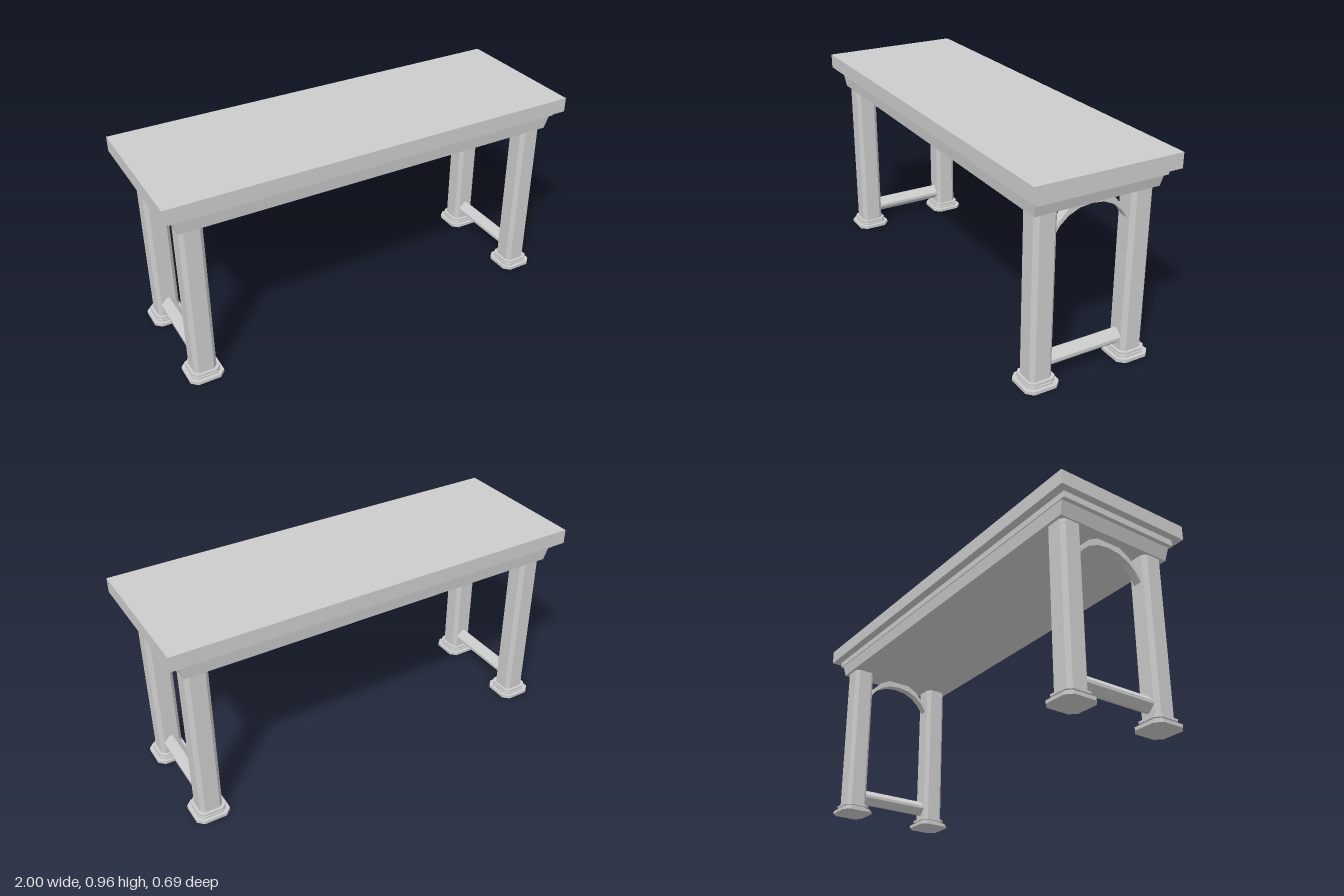
import * as THREE from 'three';

const material = new THREE.MeshStandardMaterial({ color: 0xcccccc, flatShading: true });

function addMesh(parent, geometry, name) {
  const mesh = new THREE.Mesh(geometry, material);
  mesh.name = name;
  parent.add(mesh);
  return mesh;
}

// Square of the given width with its four corners cut off
function chamferedSquare(width, cut) {
  const h = width / 2, k = h - cut;
  return new THREE.Shape([
    [h, -k], [h, k], [k, h], [-k, h], [-h, k], [-h, -k], [-k, -h], [k, -h],
  ].map(([x, y]) => new THREE.Vector2(x, y)));
}

const extrude = (shape, depth) =>
  new THREE.ExtrudeGeometry(shape, { depth, bevelEnabled: false, steps: 1 });

// Upright chamfered block from y0 to y1
function uprightBlock(width, cut, y0, y1) {
  return extrude(chamferedSquare(width, cut), y1 - y0).rotateX(-Math.PI / 2).translate(0, y0, 0);
}

// Rectangular slab whose underside may be smaller than its top
function slab(xTop, zTop, xBottom, zBottom, y0, y1) {
  const geometry = new THREE.BoxGeometry(2, y1 - y0, 2).translate(0, (y0 + y1) / 2, 0);
  const p = geometry.attributes.position;
  for (let i = 0; i < p.count; i++) {
    const top = p.getY(i) > (y0 + y1) / 2;
    p.setX(i, p.getX(i) * (top ? xTop : xBottom));
    p.setZ(i, p.getZ(i) * (top ? zTop : zBottom));
  }
  geometry.computeVertexNormals();
  return geometry;
}

function createLeg() {
  const leg = new THREE.Group();
  leg.name = 'leg';
  addMesh(leg, uprightBlock(0.107, 0.018, 0.03, 0.8), 'legPost');
  // Stepped foot: width, corner cut, bottom, top
  [
    [0.162, 0.028, 0, 0.015],
    [0.13, 0.022, 0.015, 0.023],
    [0.115, 0.02, 0.023, 0.03],
    [0.132, 0.022, 0.03, 0.04],
  ].forEach((step) => addMesh(leg, uprightBlock(...step), 'footStep'));
  return leg;
}

// Thin faceted arch between the two legs of one end
function createArchGeometry() {
  const outer = [[0.178, 0.68], [0.152, 0.728], [0.11, 0.772], [0.06, 0.797], [0, 0.803]];
  const inner = [[0.178, 0.665], [0.15, 0.707], [0.11, 0.742], [0.058, 0.765], [0, 0.772]];
  const mirrored = (half) => [
    ...half,
    ...half.slice(0, -1).reverse().map(([z, y]) => [-z, y]),
  ];
  const points = [...mirrored(outer), ...mirrored(inner).reverse()];
  const shape = new THREE.Shape(points.map(([z, y]) => new THREE.Vector2(z, y)));
  const thickness = 0.04;
  return extrude(shape, thickness).translate(0, 0, -thickness / 2).rotateY(Math.PI / 2);
}

function createEndFrame() {
  const frame = new THREE.Group();
  frame.name = 'endFrame';
  for (const side of [-1, 1]) {
    const leg = createLeg();
    leg.position.z = side * 0.23;
    frame.add(leg);
  }
  addMesh(frame, createArchGeometry(), 'arch');
  const stretcher = extrude(chamferedSquare(0.074, 0.03), 0.36).translate(0, 0.1, -0.18);
  addMesh(frame, stretcher, 'stretcher');
  return frame;
}

export function createModel() {
  const table = new THREE.Group();
  table.name = 'table';

  // Top with stepped, tapering trim below it
  addMesh(table, slab(1, 0.346, 1, 0.346, 0.888, 0.957), 'tableTop');
  addMesh(table, slab(0.967, 0.308, 0.967, 0.308, 0.858, 0.888), 'upperTrim');
  addMesh(table, slab(0.947, 0.304, 0.93, 0.297, 0.797, 0.858), 'apron');

  // A pair of legs at each end
  for (const side of [-1, 1]) {
    const frame = createEndFrame();
    frame.position.x = side * 0.868;
    table.add(frame);
  }
  return table;
}
